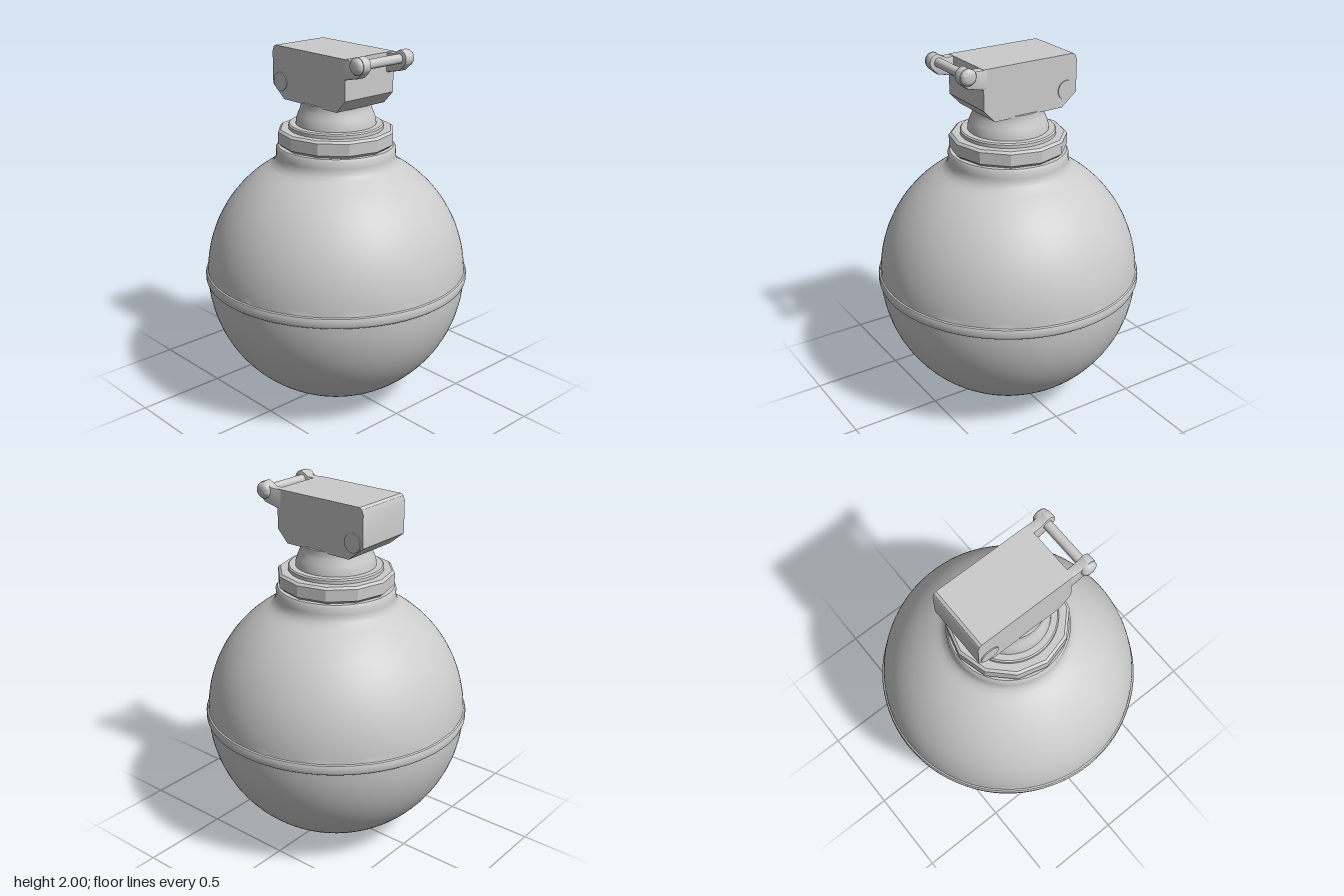
import * as THREE from 'three';
import { toCreasedNormals } from 'three/addons/utils/BufferGeometryUtils.js';

const grey = new THREE.MeshStandardMaterial({ color: 0xcccccc });

function part(parent, name, geometry, crease = 0.5) {
  const mesh = new THREE.Mesh(toCreasedNormals(geometry, crease), grey);
  mesh.name = name;
  parent.add(mesh);
  return mesh;
}

// Revolved part from [radius, height] pairs, listed bottom to top
function lathe(parent, name, points, segments = 64, crease = 0.5) {
  const profile = points.map(([r, y]) => new THREE.Vector2(r, y));
  return part(parent, name, new THREE.LatheGeometry(profile, segments), crease);
}

// Side outline in (z, y), extruded along x and centred on x = 0
function sideExtrude(shape, width, bevel) {
  const g = new THREE.ExtrudeGeometry(shape, {
    depth: width - 2 * bevel, bevelEnabled: bevel > 0, bevelSize: bevel,
    bevelThickness: bevel, bevelOffset: -bevel, bevelSegments: 2, curveSegments: 16,
  });
  g.translate(0, 0, -(width - 2 * bevel) / 2);
  return g.rotateY(-Math.PI / 2);
}

export function createModel() {
  const model = new THREE.Group();
  model.name = 'roundCanister';

  // Ball body: dished foot, lower half, seam bead, upper half, collar
  const R = 0.72, cy = 0.725;
  const arc = (from, to, n) => Array.from({ length: n + 1 }, (_, i) => {
    const a = from + (to - from) * i / n;
    return [R * Math.cos(a), cy + R * Math.sin(a)];
  });
  lathe(model, 'body', [
    [0, 0.035], [0.09, 0.035], [0.115, 0.025], [0.13, 0], [0.155, 0], [0.175, 0.018],
    ...arc(-1.29, -0.04, 26),
    [0.727, 0.702], [0.731, 0.713], [0.731, 0.742], [0.727, 0.753],
    ...arc(0.045, 1.0, 20),
    [0.36, 1.349], [0.338, 1.368], [0.328, 1.39], [0.325, 1.41],
    [0.325, 1.445], [0.315, 1.46], [0, 1.46],
  ], 80, 0.6);

  // Faceted nut with softened rims
  lathe(model, 'nut', [
    [0, 1.455], [0.295, 1.455], [0.305, 1.468], [0.317, 1.476],
    [0.317, 1.54], [0.303, 1.552], [0, 1.552],
  ], 12, 0.4);

  lathe(model, 'washer', [[0, 1.545], [0.257, 1.545], [0.257, 1.57], [0.25, 1.577], [0, 1.577]]);

  lathe(model, 'neck', [
    [0, 1.57], [0.218, 1.57], [0.215, 1.6], [0.205, 1.63], [0.192, 1.66],
    [0.188, 1.68], [0.188, 1.7], [0, 1.7],
  ]);

  // Head block with angled lower corners
  const head = new THREE.Shape([
    [0.255, 1.975], [-0.292, 1.975], [-0.306, 1.965], [-0.315, 1.94],
    [-0.315, 1.765], [-0.225, 1.692], [0.19, 1.692], [0.255, 1.76],
  ].map(([z, y]) => new THREE.Vector2(z, y)));
  part(model, 'head', sideExtrude(head, 0.345, 0), 0.45);

  // Hinge pin through the back of the head
  const hinge = part(model, 'hingePin', new THREE.CylinderGeometry(0.052, 0.052, 0.356, 32).rotateZ(Math.PI / 2));
  hinge.position.set(0, 1.785, -0.25);

  // Front lugs with domed caps, joined by a cross pin
  const lug = new THREE.Shape();
  lug.moveTo(0.23, 1.972);
  lug.lineTo(0.23, 1.878);
  lug.lineTo(0.255, 1.87);
  lug.lineTo(0.345, 1.89);
  lug.lineTo(0.372, 1.914);
  lug.absarc(0.345, 1.953, 0.047, -0.95, Math.PI / 2, false);
  lug.lineTo(0.3, 1.975);
  lug.closePath();
  const cap = [[0.043, 0], [0.043, 0.018], [0.036, 0.028], [0.022, 0.034], [0, 0.035]]
    .map(([r, y]) => new THREE.Vector2(r, y));
  for (const side of [-1, 1]) {
    const name = side > 0 ? 'left' : 'right';
    part(model, name + 'Lug', sideExtrude(lug, 0.052, 0.006)).position.x = side * 0.148;
    const knob = part(model, name + 'PinCap',
      new THREE.LatheGeometry(cap, 32).rotateZ(-side * Math.PI / 2), 0.7);
    knob.position.set(side * 0.165, 1.953, 0.345);
  }
  const pin = part(model, 'crossPin', new THREE.CylinderGeometry(0.025, 0.025, 0.3, 24).rotateZ(Math.PI / 2));
  pin.position.set(0, 1.953, 0.342);

  return model;
}
